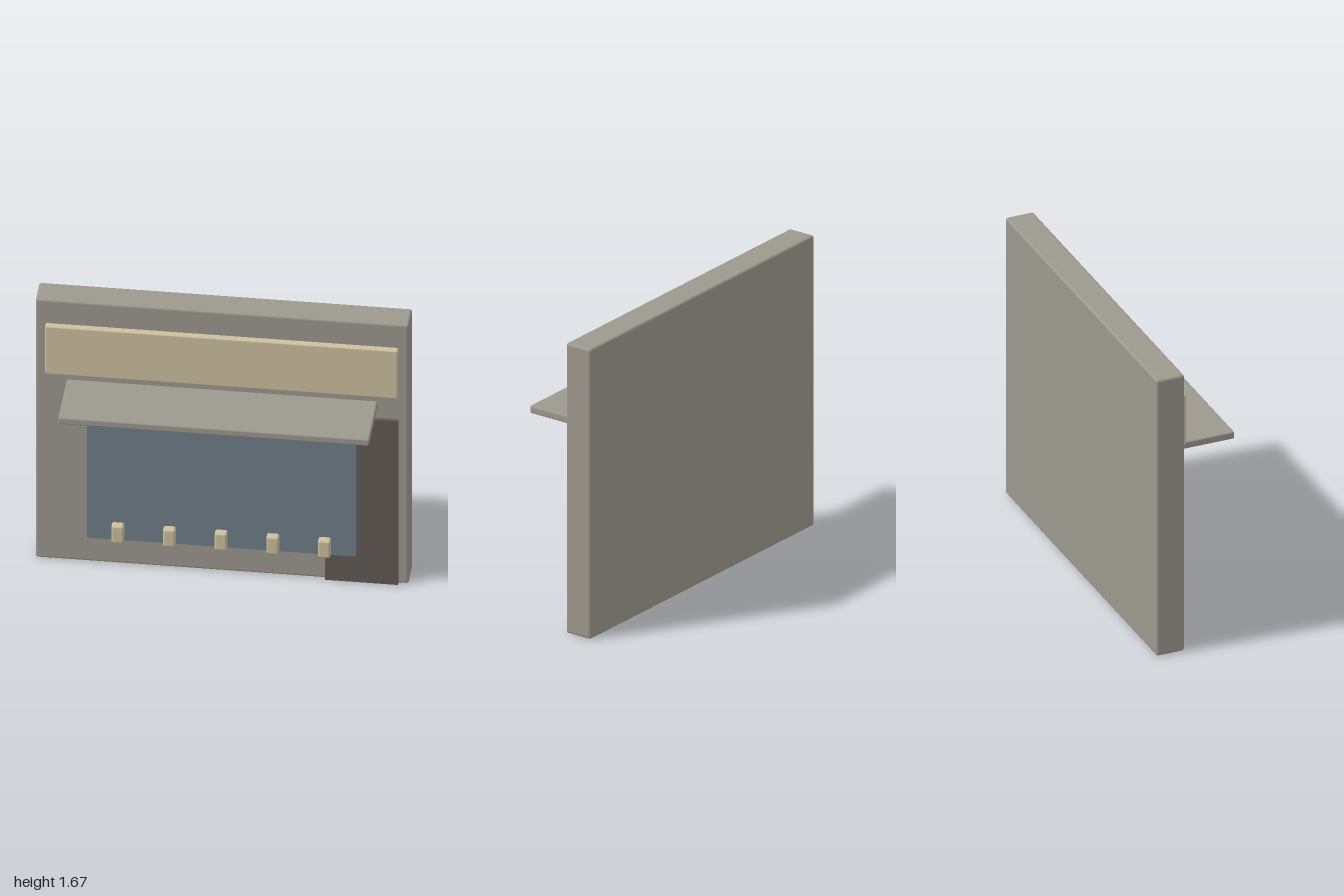
import * as THREE from 'three';
import { RoundedBoxGeometry } from 'three/addons/geometries/RoundedBoxGeometry.js';

function material(name, color) {
  const m = new THREE.MeshStandardMaterial({ color });
  m.name = name;
  return m;
}

export function createModel() {
  const group = new THREE.Group();
  const stone = material('warm grey', 0x9c988e);
  const cream = material('cream', 0xcdbf9f);
  const glass = material('blue grey glass', 0x6f7d88);
  const dark = material('dark brown', 0x625a56);

  // Box from its minimum and maximum corners, with edges rounded by radius
  function block(name, mat, [x0, y0, z0], [x1, y1, z1], radius = 0) {
    const w = x1 - x0, h = y1 - y0, d = z1 - z0;
    const geo = radius
      ? new RoundedBoxGeometry(w, h, d, 3, radius)
      : new THREE.BoxGeometry(w, h, d);
    const mesh = new THREE.Mesh(geo, mat);
    mesh.name = name;
    mesh.position.set((x0 + x1) / 2, (y0 + y1) / 2, (z0 + z1) / 2);
    group.add(mesh);
  }

  // Facade slab, sign board and canopy
  block('wall', stone, [-1, 0, -0.263], [1, 1.667, -0.1], 0.014);
  block('signBoard', cream, [-0.945, 1.21, -0.115], [0.945, 1.518, -0.066], 0.008);
  block('canopy', stone, [-0.833, 1.12, -0.12], [0.833, 1.163, 0.263], 0.009);

  // Door, with the shop window overlapping it slightly in front
  block('door', dark, [0.555, 0.002, -0.11], [0.945, 1.058, -0.081]);
  block('shopWindow', glass, [-0.722, 0.168, -0.11], [0.722, 1.06, -0.077]);

  // Row of small goods along the bottom of the window
  for (let i = -2; i <= 2; i++) {
    const x = i * 0.277;
    block('displayItem', cream, [x - 0.033, 0.17, -0.095], [x + 0.033, 0.28, -0.036], 0.012);
  }
  return group;
}
